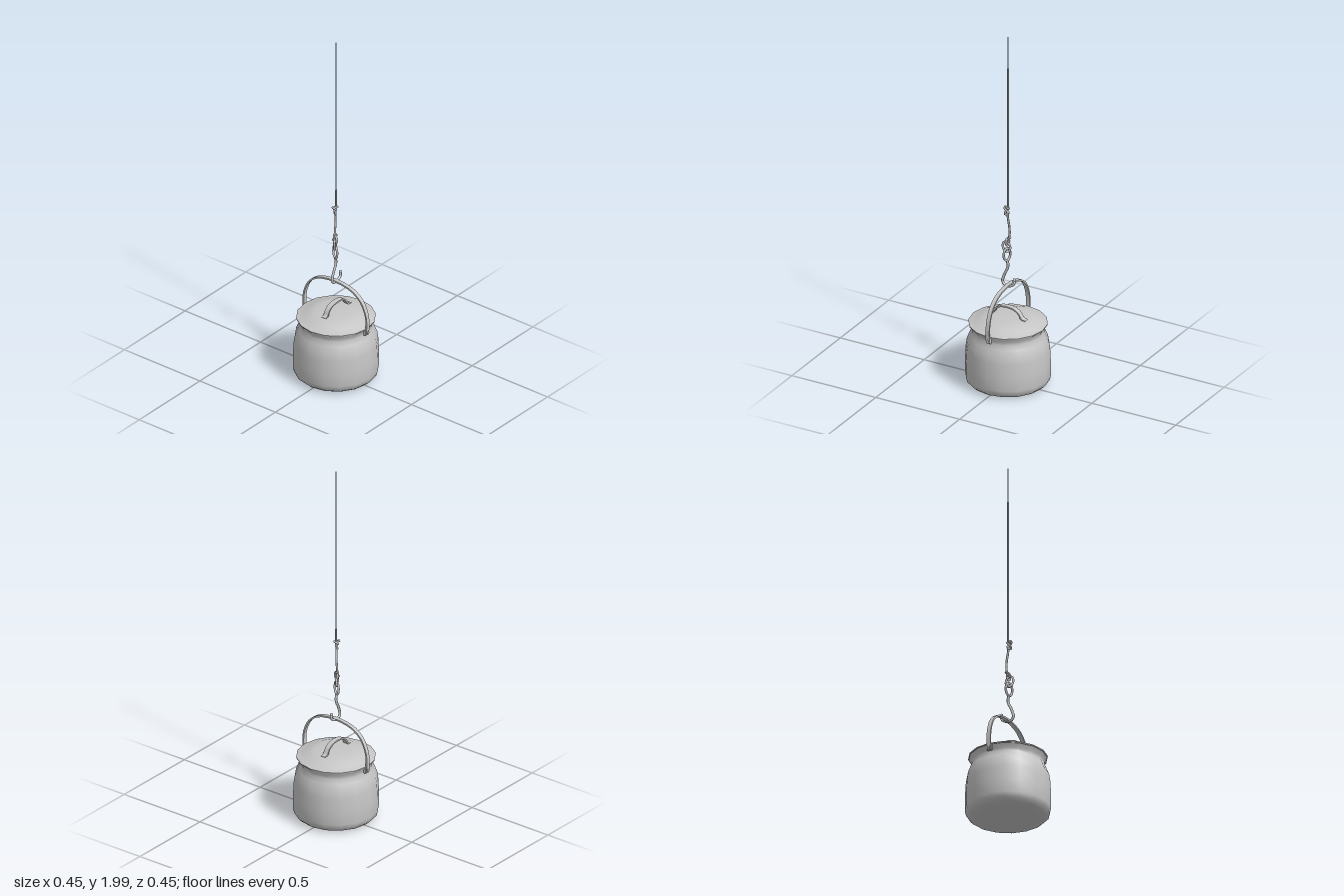
import * as THREE from 'three';
import { toCreasedNormals } from 'three/addons/utils/BufferGeometryUtils.js';

const metal = new THREE.MeshStandardMaterial({ color: 0xc6c6c6, side: THREE.DoubleSide });
metal.name = 'grey metal';

const v2 = ([x, y]) => new THREE.Vector2(x, y);
const v3 = ([x, y, z = 0]) => new THREE.Vector3(x, y, z);

export function createModel() {
  const model = new THREE.Group();
  model.name = 'hangingPot';

  const add = (name, geometry) => {
    const mesh = new THREE.Mesh(geometry, metal);
    mesh.name = name;
    model.add(mesh);
    return mesh;
  };
  const lathe = (name, profile) =>
    add(name, toCreasedNormals(new THREE.LatheGeometry(profile.map(v2), 16), 0.75));
  const tube = (name, points, radius, segments = 24, closed = false) =>
    add(name, new THREE.TubeGeometry(new THREE.CatmullRomCurve3(points.map(v3), closed), segments, radius, 6, closed));

  // Flat strip bent along a path in the xy plane, centred on z = 0
  const strap = (name, points, thickness, width, divisions) => {
    const curve = new THREE.SplineCurve(points.map(v2));
    const outer = [], inner = [];
    for (let i = 0; i <= divisions; i++) {
      const p = curve.getPoint(i / divisions);
      const t = curve.getTangent(i / divisions);
      const n = new THREE.Vector2(-t.y, t.x).multiplyScalar(thickness / 2);
      outer.push(p.clone().add(n));
      inner.unshift(p.clone().sub(n));
    }
    const g = new THREE.ExtrudeGeometry(new THREE.Shape([...outer, ...inner]), { depth: width, bevelEnabled: false });
    g.translate(0, 0, -width / 2);
    return add(name, toCreasedNormals(g, 0.6));
  };

  // Pot body with shoulder, neck and flared rim
  lathe('potBody', [
    [0, 0.008], [0.165, 0.009], [0.2, 0.017], [0.218, 0.034], [0.224, 0.06], [0.224, 0.13], [0.22, 0.21],
    [0.214, 0.25], [0.2, 0.285], [0.189, 0.31], [0.19, 0.325], [0.204, 0.35], [0.2, 0.354], [0.184, 0.326],
  ]);

  // Domed lid
  lathe('lid', [
    [0.184, 0.344], [0.206, 0.349], [0.207, 0.355], [0.192, 0.358], [0.17, 0.367],
    [0.135, 0.381], [0.11, 0.387], [0.06, 0.39], [0, 0.39],
  ]);

  // Lid grip, running left to right
  strap('lidGrip', [
    [-0.1, 0.386], [-0.083, 0.394], [-0.07, 0.418], [-0.04, 0.438], [0, 0.443],
    [0.04, 0.438], [0.07, 0.418], [0.085, 0.394], [0.108, 0.386],
  ], 0.008, 0.028, 20);

  // Carrying bail, running front to back
  const bail = strap('bail', [
    [-0.205, 0.32], [-0.209, 0.39], [-0.198, 0.45], [-0.165, 0.51], [-0.1, 0.552], [0, 0.566],
    [0.1, 0.552], [0.165, 0.51], [0.198, 0.45], [0.209, 0.39], [0.205, 0.32],
  ], 0.009, 0.022, 24);
  bail.rotation.y = Math.PI / 2;

  // Ears and rivets that hold the bail
  for (const side of [-1, 1]) {
    const ear = add('bailEar', new THREE.BoxGeometry(0.026, 0.035, 0.014));
    ear.position.set(0, 0.334, side * 0.199);
    const rivet = add('bailRivet', new THREE.CylinderGeometry(0.008, 0.008, 0.024, 8));
    rivet.rotation.x = Math.PI / 2;
    rivet.position.set(0, 0.333, side * 0.203);
  }

  // Hook: open at the left, passing under the bail and up to an eye
  tube('hook', [
    [0.036, 0.602], [0.037, 0.582], [0.022, 0.568], [0, 0.562], [-0.022, 0.566], [-0.032, 0.584],
    [-0.024, 0.615], [-0.014, 0.64], [-0.006, 0.655], [0, 0.68], [-0.005, 0.71],
  ], 0.0075, 36);
  const tip = add('hookTip', new THREE.SphereGeometry(0.009, 6, 5));
  tip.position.set(0.037, 0.604, 0);

  // Chain links, alternately turned
  const link = (y, w, h, turn, x, tilt = 0) => {
    const points = [];
    for (let i = 0; i < 10; i++) {
      const a = i / 10 * Math.PI * 2;
      points.push([Math.cos(a) * w, Math.sin(a) * h]);
    }
    const mesh = tube('chainLink', points, 0.0065, 20, true);
    mesh.position.set(x, y, 0);
    mesh.rotation.set(0, turn, tilt);
  };
  link(0.742, 0.021, 0.036, Math.PI / 2 - 0.4, -0.006);
  link(0.786, 0.018, 0.03, 0.5, -0.009, 0.3);
  link(0.815, 0.011, 0.02, Math.PI / 2 - 0.3, -0.003);

  // Lower line twisted up to the knot
  tube('lowerLine', [
    [-0.004, 0.805, -0.006], [0.003, 0.85, -0.01], [0.004, 0.9, -0.007], [-0.001, 0.95, -0.002], [-0.004, 1.0, 0],
  ], 0.006);
  for (const [y, x] of [[0.815, -0.005], [0.836, 0.002]]) {
    const wrap = add('lineWrap', new THREE.TorusGeometry(0.008, 0.005, 5, 10));
    wrap.rotation.set(Math.PI / 2, 0.35, 0);
    wrap.position.set(x, y, -0.007);
  }

  // Knot loops
  const knot = [];
  for (let i = 0; i < 16; i++) {
    const a = i / 16 * Math.PI * 2;
    knot.push([(0.35 * Math.sin(a) + 0.7 * Math.sin(2 * a)) * 0.014 - 0.007,
      0.998 + 0.02 * Math.cos(a) - 0.006 * Math.cos(2 * a), 0.009 * Math.sin(3 * a)]);
  }
  tube('knot', knot, 0.0055, 48, true);

  // Long thin line up to the hanging point
  const line = add('upperLine', new THREE.CylinderGeometry(0.0038, 0.0042, 1, 6));
  line.position.y = 1.5;

  return model;
}
